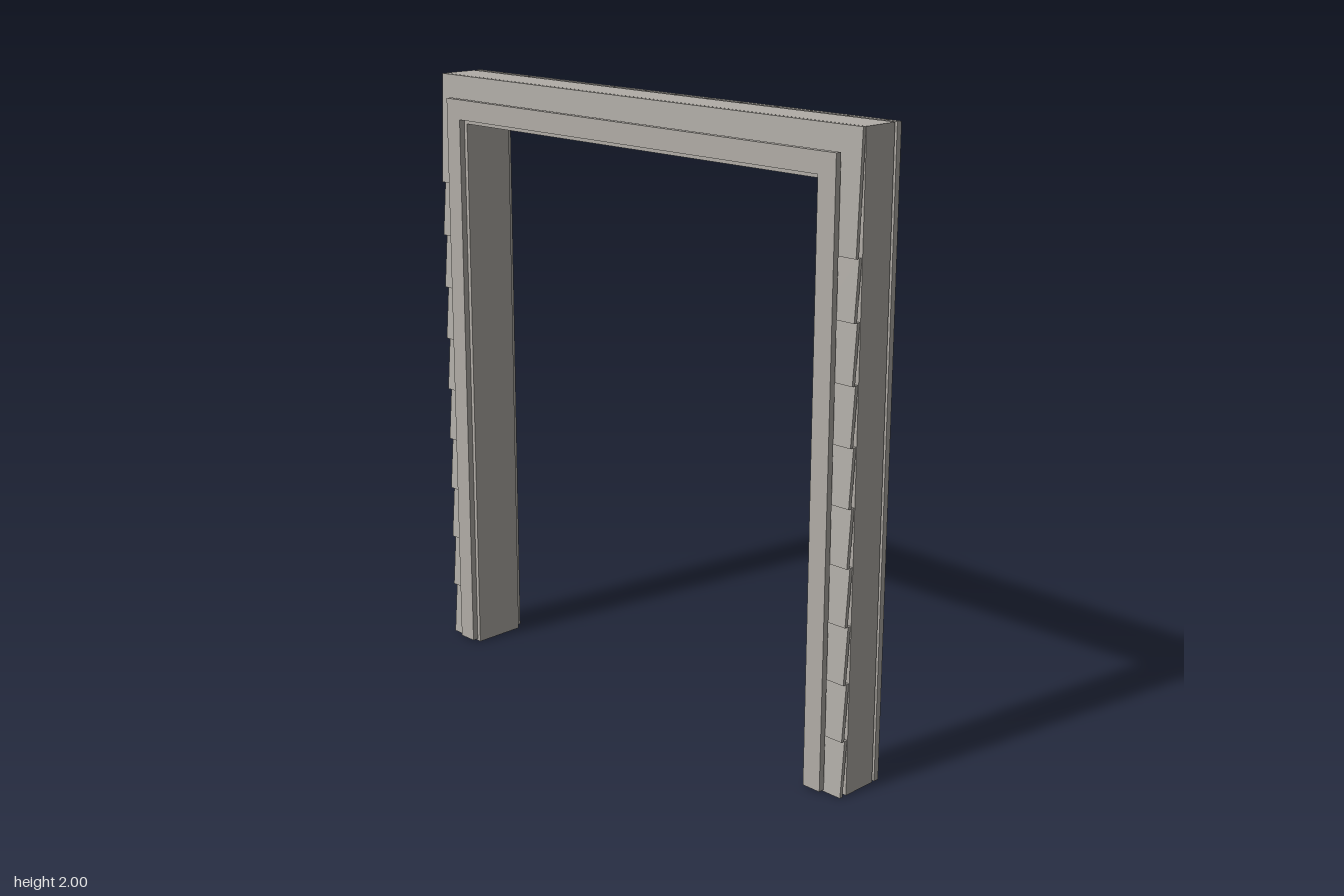
import * as THREE from 'three';

const HALF = 0.908, TOP = 2, IN = 0.78, HEAD = 1.86;

export function createModel() {
  const root = new THREE.Group();
  const stone = new THREE.MeshStandardMaterial({ color: 0xb1ada7 });
  stone.name = 'warm grey';
  const add = (name, geometry, parent = root) => {
    const mesh = new THREE.Mesh(geometry, stone);
    mesh.name = name;
    parent.add(mesh);
    return mesh;
  };
  const group = (name) => {
    const g = new THREE.Group();
    g.name = name;
    root.add(g);
    return g;
  };

  // Extrude an outline from z0 to z1
  const plate = (points, z0, z1) => {
    const shape = new THREE.Shape(points.map(([x, y]) => new THREE.Vector2(x, y)));
    const g = new THREE.ExtrudeGeometry(shape, { depth: z1 - z0, bevelEnabled: false });
    return g.translate(0, 0, z0);
  };
  // Doorway-shaped outline
  const arch = (outer, top, inner, head, base = 0) => [
    [-outer, base], [-inner, base], [-inner, head], [inner, head],
    [inner, base], [outer, base], [outer, top], [-outer, top],
  ];
  const rect = (x0, x1, y0, y1) => [[x0, y0], [x1, y0], [x1, y1], [x0, y1]];

  // Wall core, lining of the opening, and casings on both faces
  add('wallCore', plate(arch(HALF, TOP, IN, HEAD), -0.061, 0.061));
  add('jambLining', plate(arch(IN, HEAD, 0.766, 1.846), -0.09, 0.09));
  add('frontCasing', plate(arch(0.845, 1.926, IN, HEAD, 0.006), 0.09, 0.11));
  add('backCasing', plate(arch(0.845, 1.926, IN, HEAD, 0.006), -0.11, -0.09));

  // Lapped siding: each course leans back towards its top
  const siding = group('frontSiding');
  const lean = (geometry, y0, y1) => {
    const p = geometry.attributes.position;
    for (let i = 0; i < p.count; i++) {
      p.setZ(i, p.getZ(i) - 0.014 * (p.getY(i) - y0) / (y1 - y0));
    }
    geometry.computeVertexNormals();
    return geometry;
  };
  const course = TOP / 11, upper = 9 * course;
  for (let i = 0; i < 9; i++) {
    const y0 = i * course, y1 = y0 + course;
    for (const [x0, x1] of [[-HALF, -IN], [IN, HALF]]) {
      add('sidingBoard', lean(plate(rect(x0, x1, y0, y1), 0.077, 0.089), y0, y1), siding);
    }
  }
  add('upperSiding', lean(plate(arch(HALF, TOP, IN, HEAD, upper), 0.077, 0.089), upper, TOP), siding);

  // Upright boards on the back, cut around the opening
  const boards = group('backBoards');
  const pitch = 0.1365, gap = 0.005;
  for (let i = 0; i < 14; i++) {
    const x0 = -0.913 + i * pitch + gap, x1 = Math.min(x0 + pitch - gap, HALF);
    let outline;
    if (x1 <= -IN + 0.01 || x0 >= IN) outline = rect(x0, x1, 0, TOP);
    else if (x1 > IN) outline = [[x0, HEAD], [IN, HEAD], [IN, 0], [x1, 0], [x1, TOP], [x0, TOP]];
    else outline = rect(x0, x1, HEAD, TOP);
    add('backBoard', plate(outline, -0.09, -0.071), boards);
  }

  return root;
}
